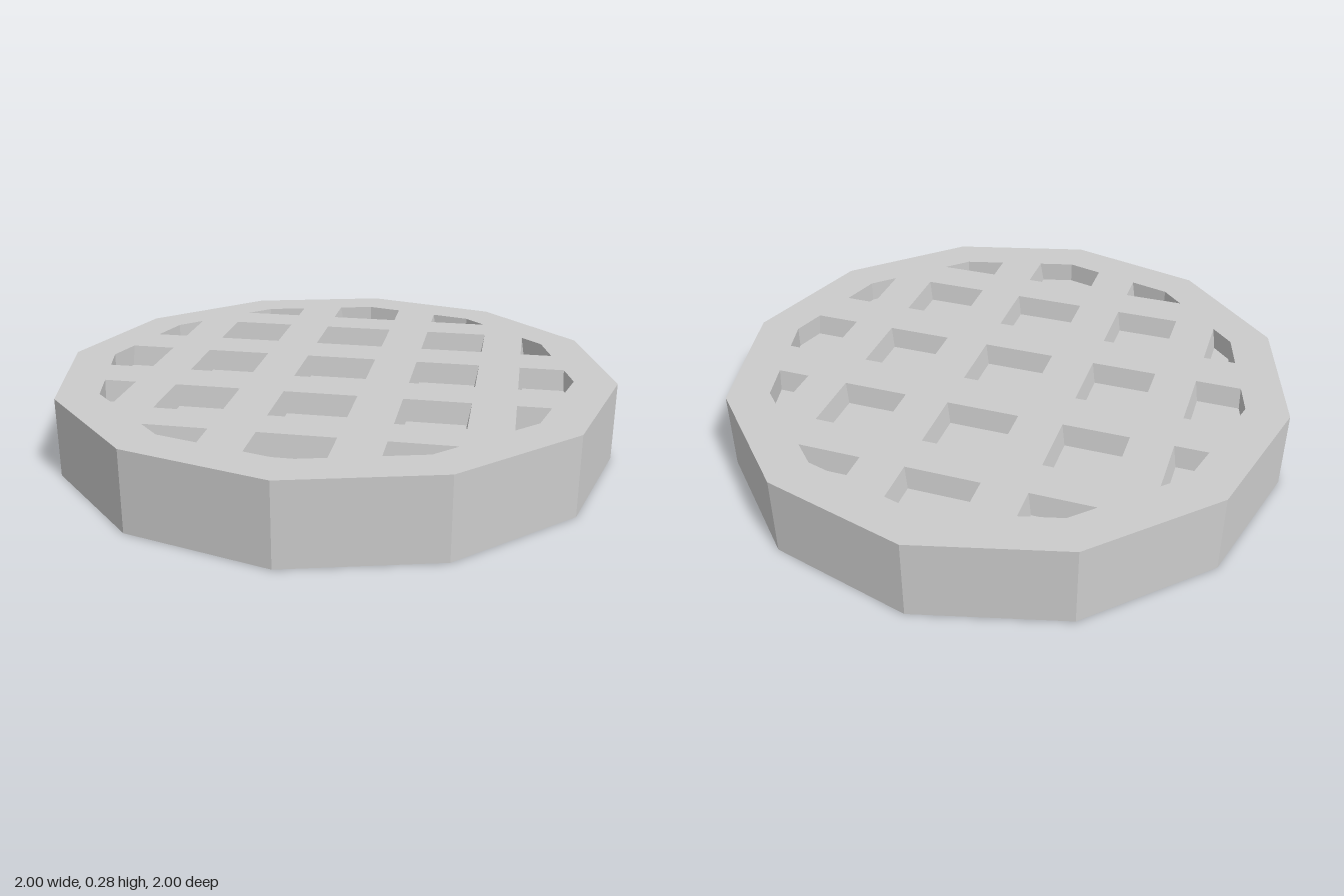
import * as THREE from 'three';

const SIDES = 12, HEIGHT = 0.28, DEPTH = 0.075, TAPER = 0.013, POCKET_RADIUS = 0.85;

// Bands of pockets across the disc: [from, to]; outer ones run on to the border
const xBands = [[-2, -0.66], [-0.513, -0.283], [-0.128, 0.128], [0.283, 0.513], [0.66, 2]];
const zBands = [[-2, -0.66], [-0.515, -0.283], [-0.12, 0.12], [0.283, 0.515], [0.66, 2]];

function ring(radius) {
  return Array.from({ length: SIDES }, (_, i) => {
    const a = (i / SIDES) * Math.PI * 2;
    return new THREE.Vector2(radius * Math.cos(a), radius * Math.sin(a));
  });
}

// Keeps the part of a convex polygon where sign * (p[axis] - limit) >= 0
function clip(points, axis, limit, sign) {
  const out = [];
  points.forEach((a, i) => {
    const b = points[(i + 1) % points.length];
    const da = sign * (a[axis] - limit), db = sign * (b[axis] - limit);
    if (da >= 0) out.push(a);
    if (da * db < 0) out.push(a.clone().lerp(b, da / (da - db)));
  });
  return out;
}

// Outline of one pocket, with its straight sides moved inward by inset
function pocketOutline([x0, x1], [y0, y1], inset) {
  let p = ring(POCKET_RADIUS);
  p = clip(p, 'x', x0 + inset, 1);
  p = clip(p, 'x', x1 - inset, -1);
  p = clip(p, 'y', y0 + inset, 1);
  return clip(p, 'y', y1 - inset, -1);
}

function createModel() {
  const model = new THREE.Group();
  model.name = 'waffle';
  const material = new THREE.MeshStandardMaterial({ color: 0xcccccc, flatShading: true });

  // Twelve-sided outer edge
  const edge = new THREE.Mesh(
    new THREE.CylinderGeometry(1, 1, HEIGHT, SIDES, 1, true), material);
  edge.name = 'outerEdge';
  edge.position.y = HEIGHT / 2;
  model.add(edge);

  // Gridded face and its sunken, slightly tapered pockets
  const face = new THREE.Shape(ring(1));
  const positions = [];
  const push = (...corners) => corners.forEach(([p, z]) => positions.push(p.x, p.y, z));
  for (const xBand of xBands) for (const zBand of zBands) {
    const rim = pocketOutline(xBand, zBand, 0);
    if (rim.length < 3) continue;
    const base = pocketOutline(xBand, zBand, TAPER);
    face.holes.push(new THREE.Path(rim));
    rim.forEach((a, i) => {
      const j = (i + 1) % rim.length;
      push([a, 0], [rim[j], 0], [base[j], -DEPTH]);
      push([a, 0], [base[j], -DEPTH], [base[i], -DEPTH]);
      if (i > 0 && j > 0) push([base[0], -DEPTH], [base[i], -DEPTH], [base[j], -DEPTH]);
    });
  }
  const faceGeometry = new THREE.ShapeGeometry(face);
  const pocketGeometry = new THREE.BufferGeometry();
  pocketGeometry.setAttribute('position', new THREE.Float32BufferAttribute(positions, 3));
  pocketGeometry.computeVertexNormals();

  // The same face on top and underneath
  for (const [name, y, turn] of [['top', HEIGHT, -Math.PI / 2], ['bottom', 0, Math.PI / 2]]) {
    const side = new THREE.Group();
    side.name = name + 'Side';
    const grid = new THREE.Mesh(faceGeometry, material);
    grid.name = name + 'Grid';
    const pockets = new THREE.Mesh(pocketGeometry, material);
    pockets.name = name + 'Pockets';
    side.add(grid, pockets);
    side.position.y = y;
    side.rotation.x = turn;
    model.add(side);
  }
  return model;
}

export { createModel };
